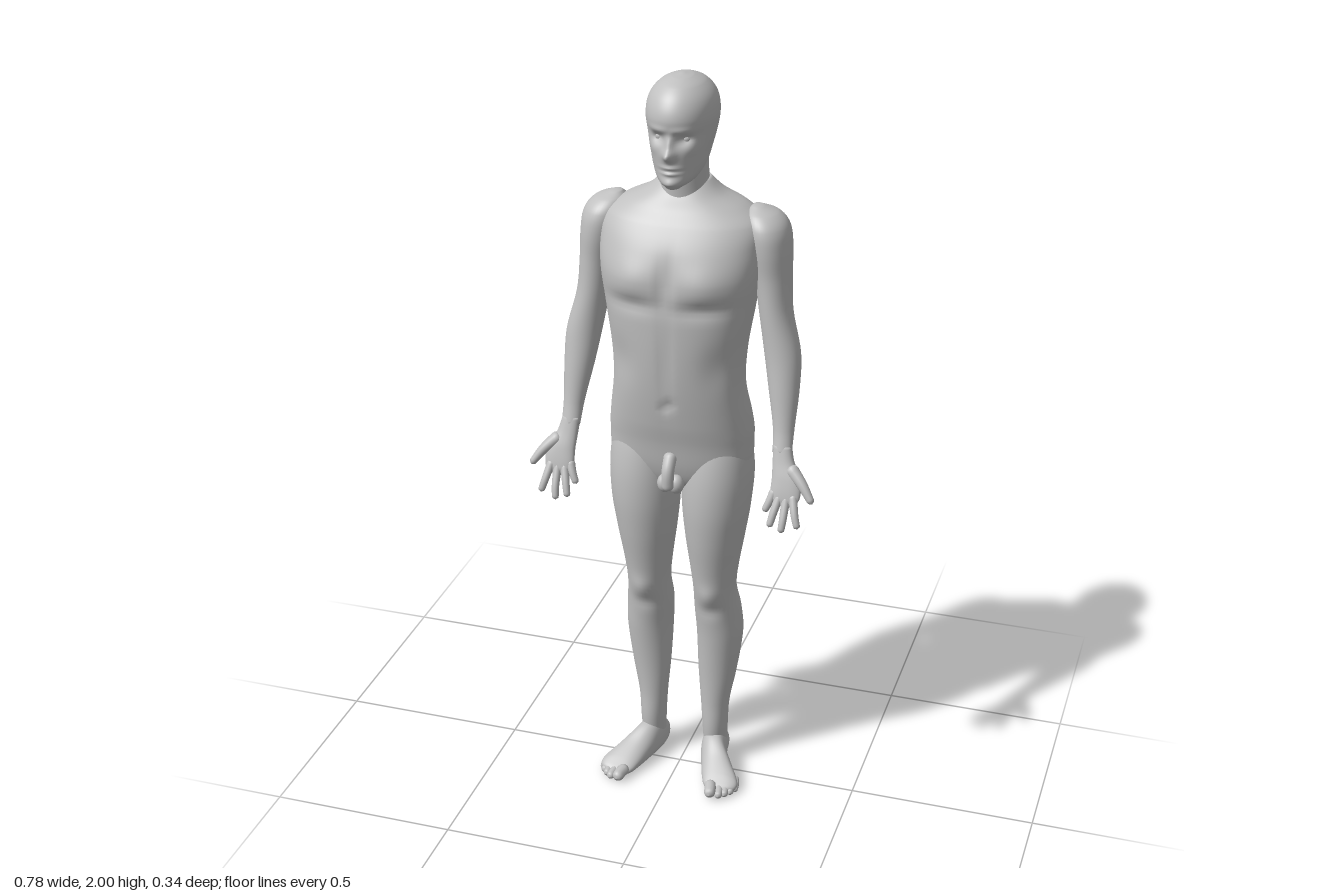
import * as THREE from 'three';
import { mergeVertices } from 'three/addons/utils/BufferGeometryUtils.js';

const skin = new THREE.MeshStandardMaterial({ color: 0xc0c0c0 });
skin.name = 'plain grey';

// Smooth interpolation of rows; the first number of each row is its height
function sampleRows(rows, steps) {
  const last = rows.length - 1;
  const slope = (i, k) => {
    const a = rows[Math.max(0, i - 1)], b = rows[Math.min(last, i + 1)];
    return (b[k] - a[k]) / (b[0] - a[0]);
  };
  const out = [];
  for (let i = 0; i < last; i++) {
    const h = rows[i + 1][0] - rows[i][0];
    for (let j = 0; j < steps; j++) {
      const t = j / steps, t2 = t * t, t3 = t2 * t;
      out.push(rows[i].map((p, k) => k === 0 ? p + h * t
        : (2 * t3 - 3 * t2 + 1) * p + (t3 - 2 * t2 + t) * h * slope(i, k)
        + (3 * t2 - 2 * t3) * rows[i + 1][k] + (t3 - t2) * h * slope(i + 1, k)));
    }
  }
  out.push(rows[last]);
  return out;
}

// Loft of rounded rings, rows: [y, centreX, centreZ, halfWidth, frontDepth, backDepth]
// Bumps: [x, y, spreadX, spreadY, amount, side], mirrored over x, side 1 front, -1 back
function loft(rows, { segs = 40, steps = 6, power = 2, bumps = [] } = {}) {
  const rings = sampleRows(rows, steps), pos = [], idx = [];
  const round = v => Math.sign(v) * Math.abs(v) ** (2 / power);
  for (const [y, cx, cz, rx, rf, rb] of rings) {
    for (let j = 0; j < segs; j++) {
      const a = j / segs * Math.PI * 2, s = Math.sin(a);
      const x = cx + Math.max(rx, 0.001) * round(Math.cos(a));
      let z = cz + Math.max(s > 0 ? rf : rb, 0.001) * round(s);
      for (const [bx, by, sx, sy, amount, side] of bumps) {
        const g = Math.exp(-(((Math.abs(x) - bx) / sx) ** 2) - ((y - by) / sy) ** 2);
        z += side * amount * g * Math.min(1, Math.max(0, side * s * 2));
      }
      pos.push(x, y, z);
    }
  }
  const top = rings.length - 1, centre = pos.length / 3;
  for (const r of [rings[0], rings[top]]) pos.push(r[1], r[0], r[2]);
  for (let j = 0; j < segs; j++) {
    const k = (j + 1) % segs;
    for (let i = 0; i < top; i++) {
      const a = i * segs + j, b = i * segs + k;
      idx.push(a, a + segs, b, b, a + segs, b + segs);
    }
    idx.push(centre, j, k, centre + 1, top * segs + k, top * segs + j);
  }
  const g = new THREE.BufferGeometry();
  g.setAttribute('position', new THREE.Float32BufferAttribute(pos, 3));
  g.setIndex(idx);
  g.computeVertexNormals();
  return g;
}

// Round-ended tapering tube for fingers and toes
function digit(points, r0, r1) {
  const curve = new THREE.CatmullRomCurve3(points.map(p => new THREE.Vector3(...p)));
  const n = 20, segs = 12, length = curve.getLength();
  let g = new THREE.TubeGeometry(curve, n, 1, segs);
  const p = g.attributes.position, v = new THREE.Vector3();
  for (let i = 0; i <= n; i++) {
    const u = i / n, c = curve.getPointAt(u), r = r0 + (r1 - r0) * u;
    const end = Math.min(1, Math.min(u, 1 - u) * length / r);
    const radius = Math.max(0.0003, r * Math.sqrt(1 - (1 - end) ** 2));
    for (let j = 0; j <= segs; j++) {
      const k = i * (segs + 1) + j;
      v.fromBufferAttribute(p, k).sub(c).multiplyScalar(radius).add(c);
      p.setXYZ(k, v.x, v.y, v.z);
    }
  }
  g.deleteAttribute('uv');
  g.deleteAttribute('normal');
  g = mergeVertices(g, 1e-5);
  g.computeVertexNormals();
  return g;
}

function mirrored(source) {
  const g = source.clone().scale(-1, 1, 1), a = g.index.array;
  for (let i = 0; i < a.length; i += 3) [a[i], a[i + 1]] = [a[i + 1], a[i]];
  g.computeVertexNormals();
  return g;
}

export function createModel() {
  const model = new THREE.Group();
  model.name = 'standingFigure';
  const add = (name, geometry) => {
    const m = new THREE.Mesh(geometry, skin);
    m.name = name;
    model.add(m);
  };
  const addPair = (name, geometry) => {
    add(name + 'Left', geometry);
    add(name + 'Right', mirrored(geometry));
  };
  const ball = (r, x, y, z, sy = 1) =>
    new THREE.SphereGeometry(r, 20, 14).scale(1, sy, 1).translate(x, y, z);

  // Torso with chest, spine and seat modelled as bumps
  add('torso', loft([
    [0.875, 0, -0.02, 0.03, 0.03, 0.04], [0.90, 0, -0.02, 0.11, 0.07, 0.075],
    [0.95, 0, -0.02, 0.18, 0.095, 0.105], [1.04, 0, -0.02, 0.192, 0.112, 0.128],
    [1.10, 0, -0.015, 0.187, 0.12, 0.12], [1.20, 0, 0, 0.173, 0.12, 0.108],
    [1.30, 0, 0, 0.177, 0.128, 0.128], [1.40, 0, -0.005, 0.192, 0.135, 0.148],
    [1.50, 0, -0.01, 0.207, 0.138, 0.155], [1.57, 0, -0.03, 0.212, 0.14, 0.135],
    [1.63, 0, -0.05, 0.205, 0.125, 0.105], [1.665, 0, -0.055, 0.16, 0.10, 0.09],
    [1.695, 0, -0.055, 0.10, 0.08, 0.07], [1.73, 0, -0.05, 0.062, 0.05, 0.055],
  ], {
    segs: 80, steps: 7, power: 2.3, bumps: [
      [0.095, 1.50, 0.065, 0.05, 0.014, 1], [0, 1.50, 0.016, 0.06, -0.012, 1],
      [0.09, 1.435, 0.07, 0.02, -0.010, 1], [0, 1.29, 0.014, 0.12, -0.006, 1],
      [0, 1.16, 0.012, 0.014, -0.010, 1], [0.13, 1.27, 0.04, 0.06, -0.008, 1],
      [0, 1.40, 0.026, 0.22, -0.020, -1], [0.10, 1.55, 0.055, 0.07, 0.012, -1],
      [0.085, 1.025, 0.06, 0.065, 0.028, -1], [0, 0.98, 0.018, 0.075, -0.040, -1],
    ],
  }));

  add('neck', loft([
    [1.62, 0, -0.055, 0.085, 0.075, 0.085], [1.70, 0, -0.045, 0.065, 0.07, 0.07],
    [1.76, 0, -0.035, 0.061, 0.065, 0.07], [1.84, 0, -0.03, 0.06, 0.06, 0.085],
  ]));

  // Head with nose, brow, eye sockets, lips and chin
  add('head', loft([
    [1.733, 0, 0.05, 0.018, 0.025, 0.025], [1.75, 0, 0.02, 0.046, 0.064, 0.065],
    [1.78, 0, -0.005, 0.064, 0.09, 0.09], [1.82, 0, -0.018, 0.074, 0.108, 0.11],
    [1.87, 0, -0.026, 0.085, 0.112, 0.12], [1.91, 0, -0.028, 0.089, 0.122, 0.12],
    [1.95, 0, -0.028, 0.081, 0.108, 0.108], [1.98, 0, -0.027, 0.057, 0.078, 0.078],
    [1.995, 0, -0.025, 0.028, 0.04, 0.04], [2.0, 0, -0.025, 0.004, 0.006, 0.006],
  ], {
    segs: 96, steps: 9, bumps: [
      [0, 1.825, 0.014, 0.014, 0.024, 1], [0, 1.85, 0.010, 0.022, 0.012, 1],
      [0.034, 1.862, 0.017, 0.012, -0.014, 1], [0.03, 1.886, 0.03, 0.009, 0.005, 1],
      [0.05, 1.835, 0.018, 0.015, 0.004, 1], [0, 1.790, 0.022, 0.005, 0.006, 1],
      [0, 1.776, 0.020, 0.005, 0.006, 1], [0, 1.783, 0.026, 0.003, -0.004, 1],
      [0, 1.750, 0.022, 0.012, 0.008, 1],
    ],
  }));
  addPair('eye', ball(0.012, 0.034, 1.862, 0.054));

  // Arms
  addPair('arm', loft([
    [1.04, 0.288, 0.042, 0.025, 0.019, 0.02], [1.10, 0.285, 0.02, 0.028, 0.026, 0.028],
    [1.20, 0.277, -0.005, 0.040, 0.038, 0.042], [1.29, 0.267, -0.022, 0.047, 0.045, 0.045],
    [1.40, 0.244, -0.035, 0.043, 0.052, 0.054], [1.49, 0.233, -0.045, 0.047, 0.062, 0.063],
    [1.57, 0.222, -0.052, 0.055, 0.075, 0.076], [1.62, 0.212, -0.055, 0.056, 0.072, 0.07],
    [1.65, 0.20, -0.058, 0.042, 0.052, 0.05], [1.668, 0.185, -0.06, 0.012, 0.015, 0.015],
  ]));

  // Hands with palms forward
  addPair('palm', loft([
    [0.912, 0.31, 0.088, 0.022, 0.008, 0.008], [0.932, 0.309, 0.083, 0.038, 0.013, 0.013],
    [0.98, 0.307, 0.066, 0.038, 0.017, 0.017], [1.02, 0.294, 0.05, 0.028, 0.018, 0.018],
    [1.06, 0.287, 0.035, 0.024, 0.02, 0.02],
  ], { power: 2.4 }));
  const fingers = {
    littleFinger: [[0.28, 0.95, 0.076], [0.268, 0.915, 0.09], [0.257, 0.89, 0.096]],
    ringFinger: [[0.295, 0.94, 0.08], [0.283, 0.89, 0.105], [0.276, 0.857, 0.116]],
    middleFinger: [[0.312, 0.94, 0.08], [0.311, 0.88, 0.11], [0.308, 0.847, 0.12]],
    indexFinger: [[0.328, 0.945, 0.08], [0.341, 0.895, 0.106], [0.351, 0.862, 0.115]],
    thumb: [[0.31, 1.01, 0.055], [0.352, 0.972, 0.078], [0.384, 0.93, 0.095]],
  };
  for (const [name, points] of Object.entries(fingers))
    addPair(name, digit(points, name === 'thumb' ? 0.019 : 0.012, 0.009));

  // Legs
  addPair('leg', loft([
    [0.04, 0.09, -0.05, 0.032, 0.04, 0.04], [0.12, 0.09, -0.044, 0.035, 0.044, 0.041],
    [0.20, 0.09, -0.043, 0.040, 0.043, 0.042], [0.30, 0.095, -0.047, 0.053, 0.052, 0.054],
    [0.42, 0.10, -0.05, 0.063, 0.068, 0.075], [0.50, 0.096, -0.042, 0.063, 0.072, 0.073],
    [0.58, 0.093, -0.02, 0.058, 0.068, 0.07], [0.65, 0.093, -0.015, 0.065, 0.076, 0.076],
    [0.75, 0.095, -0.013, 0.080, 0.092, 0.094], [0.85, 0.098, -0.014, 0.092, 0.103, 0.104],
    [0.95, 0.10, -0.02, 0.094, 0.104, 0.115], [1.05, 0.10, -0.02, 0.078, 0.08, 0.09],
    [1.10, 0.10, -0.02, 0.05, 0.05, 0.05],
  ], {
    bumps: [[0.093, 0.575, 0.028, 0.03, 0.008, 1], [0.093, 0.52, 0.03, 0.02, -0.005, 1],
      [0.10, 0.58, 0.03, 0.04, -0.008, -1]],
  }));

  // Feet, lofted from heel to toe and laid flat
  addPair('foot', loft([
    [-0.112, 0.088, -0.03, 0.01, 0.012, 0.015], [-0.098, 0.088, -0.033, 0.028, 0.03, 0.035],
    [-0.05, 0.09, -0.038, 0.036, 0.037, 0.06], [0.0, 0.10, -0.038, 0.038, 0.035, 0.062],
    [0.05, 0.124, -0.03, 0.046, 0.029, 0.042], [0.095, 0.145, -0.023, 0.051, 0.022, 0.025],
    [0.118, 0.149, -0.019, 0.043, 0.017, 0.015], [0.132, 0.145, -0.017, 0.022, 0.011, 0.008],
  ], { power: 2.3 }).rotateX(Math.PI / 2));
  const toes = [[0.134, 0.166, 0.017], [0.157, 0.158, 0.012], [0.171, 0.146, 0.0115],
    [0.183, 0.131, 0.011], [0.192, 0.114, 0.010]];
  toes.forEach(([x, z, r], i) =>
    addPair('toe' + (i + 1), digit([[x - 0.012, r + 0.008, z - 0.055],
      [x - 0.003, r + 0.005, z - 0.025], [x, r, z]], r, r * 0.9)));

  // Simple groin forms
  add('groinFront', digit([[0, 1.015, 0.075], [0, 0.97, 0.105], [0, 0.915, 0.108]], 0.018, 0.016));
  addPair('groinSide', ball(0.021, 0.015, 0.925, 0.082, 1.25));

  return model;
}
